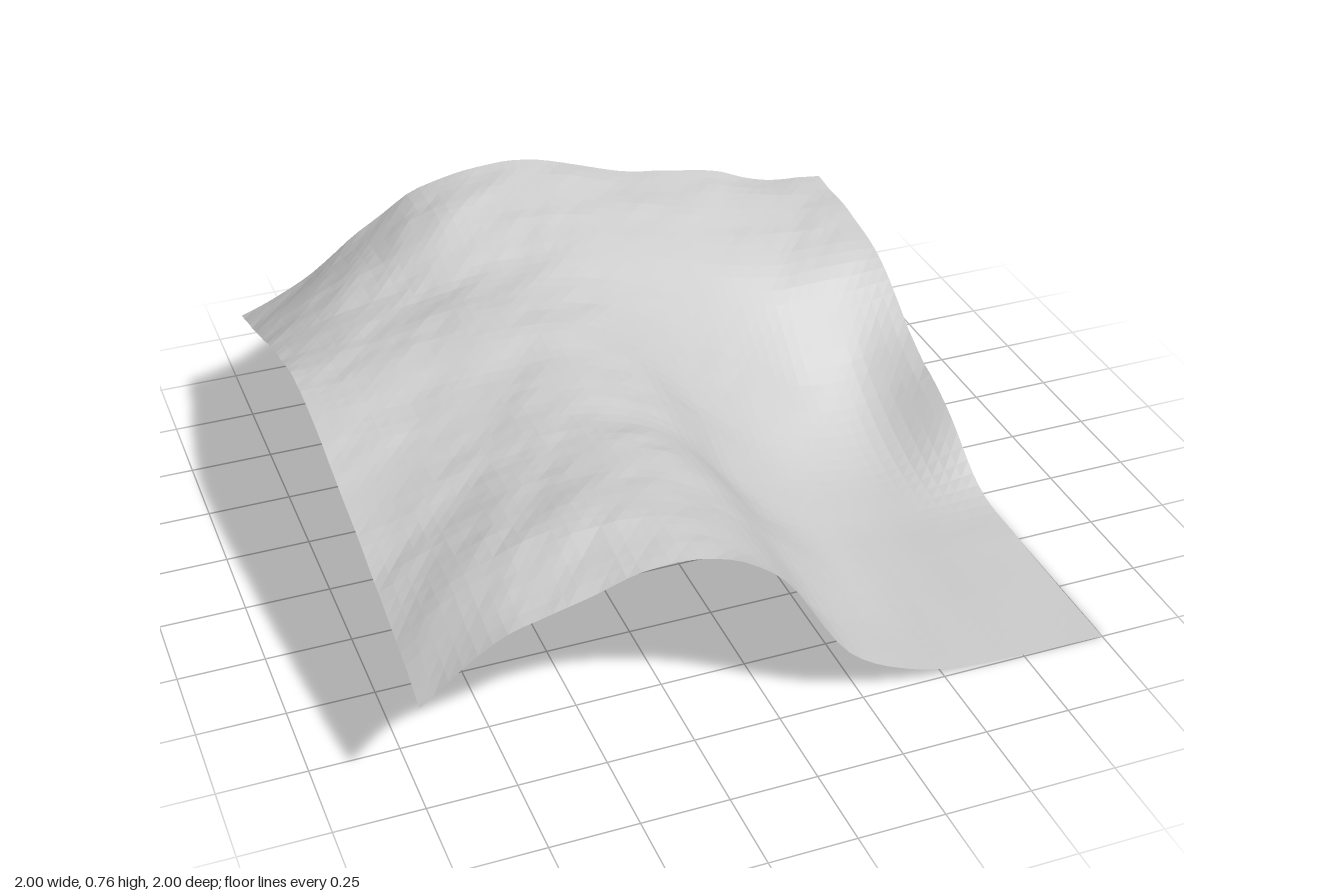
import * as THREE from 'three';

// Heights of the broad landform: rows run back to front, columns left to right in x
const ROWS = [
  [0.375, 0.46, 0.60, 0.72, 0.755, 0.75, 0.68, 0.63, 0.60, 0.53, 0.50],
  [0.45, 0.55, 0.635, 0.715, 0.72, 0.70, 0.65, 0.59, 0.54, 0.51, 0.49],
  [0.535, 0.59, 0.62, 0.65, 0.65, 0.63, 0.565, 0.49, 0.44, 0.43, 0.43],
  [0.59, 0.605, 0.63, 0.65, 0.63, 0.56, 0.44, 0.31, 0.21, 0.20, 0.28],
  [0.58, 0.59, 0.60, 0.61, 0.60, 0.51, 0.31, 0.14, 0.07, 0.07, 0.18],
  [0.53, 0.56, 0.59, 0.61, 0.58, 0.46, 0.22, 0.08, 0.025, 0.02, 0.03],
  [0.485, 0.54, 0.59, 0.61, 0.59, 0.47, 0.22, 0.06, 0.02, 0.015, 0.01],
  [0.42, 0.54, 0.61, 0.635, 0.59, 0.45, 0.19, 0.05, 0.02, 0.015, 0.005],
  [0.345, 0.49, 0.55, 0.61, 0.60, 0.47, 0.18, 0.06, 0.02, 0.01, 0.005],
];

// Smooth curve through evenly spaced values, t from 0 to 1
function spline(values, t) {
  const n = values.length - 1;
  const i = Math.min(Math.floor(t * n), n - 1);
  const f = t * n - i;
  const b = values[i], c = values[i + 1];
  const a = i > 0 ? values[i - 1] : 2 * b - c;
  const d = i < n - 1 ? values[i + 2] : 2 * c - b;
  return b + 0.5 * f * (c - a + f * (2 * a - 5 * b + 4 * c - d + f * (3 * (b - c) + d - a)));
}

// Seeded value noise, from -1 to 1
function hash(i, j) {
  const s = Math.sin(i * 127.1 + j * 311.7) * 43758.5453;
  return 2 * (s - Math.floor(s)) - 1;
}
function noise(u, v) {
  const i = Math.floor(u), j = Math.floor(v);
  const f = THREE.MathUtils.smoothstep(u - i, 0, 1);
  const g = THREE.MathUtils.smoothstep(v - j, 0, 1);
  const { lerp } = THREE.MathUtils;
  return lerp(lerp(hash(i, j), hash(i + 1, j), f), lerp(hash(i, j + 1), hash(i + 1, j + 1), f), g);
}

function heightAt(x, z) {
  const base = spline(ROWS.map((row) => spline(row, (x + 1) / 2)), (z + 1) / 2);
  // Weathered streaks running diagonally, fading out on the basin floor
  const u = x - 0.6 * z, v = z + 0.6 * x;
  const rough = 0.006 * noise(u * 3, v * 7) + 0.004 * noise(u * 8 + 20, v * 16);
  return Math.max(0, base + rough * THREE.MathUtils.smoothstep(base, 0.02, 0.3));
}

export function createModel() {
  const group = new THREE.Group();
  group.name = 'terrain';

  // Open square sheet, lifted to the landform
  const geometry = new THREE.PlaneGeometry(2, 2, 50, 50).rotateX(-Math.PI / 2);
  const position = geometry.attributes.position;
  for (let i = 0; i < position.count; i++) {
    position.setY(i, heightAt(position.getX(i), position.getZ(i)));
  }
  geometry.computeVertexNormals();
  geometry.computeBoundingBox();
  geometry.translate(0, -geometry.boundingBox.min.y, 0);

  const material = new THREE.MeshStandardMaterial({
    color: 0xcccccc, flatShading: true, side: THREE.DoubleSide,
  });
  const ground = new THREE.Mesh(geometry, material);
  ground.name = 'hillside';
  group.add(ground);
  return group;
}
